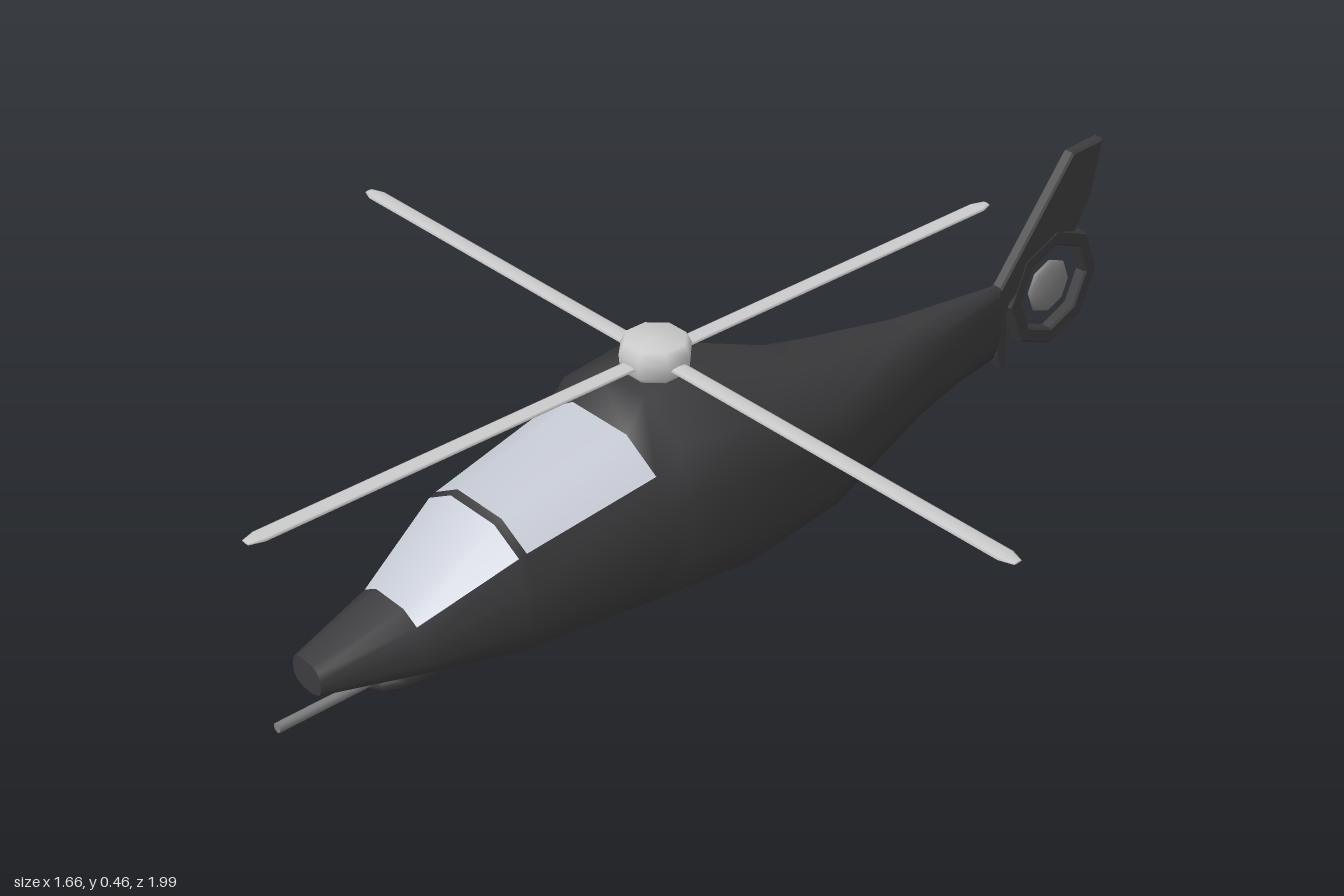
import * as THREE from 'three';

const mat = (color, extra = {}) => new THREE.MeshStandardMaterial({ color, ...extra });

// Hull stations, nose to tail: z, half width, bottom y, top y, roof width ratio
const STATIONS = [
  [0.91, 0.038, 0.1, 0.16, 0.5],
  [0.74, 0.082, 0.066, 0.198, 0.45],
  [0.565, 0.139, 0.036, 0.293, 0.42],
  [0.55, 0.141, 0.035, 0.298, 0.42],
  [0.29, 0.168, 0.01, 0.355, 0.42],
  [0.24, 0.178, 0.005, 0.402, 0.34],
  [0.1, 0.2, 0.003, 0.402, 0.33],
  [-0.16, 0.152, 0.005, 0.295, 0.35],
  [-0.45, 0.067, 0.05, 0.25, 0.38],
  [-0.72, 0.013, 0.073, 0.23, 0.45],
];
const SIDES = 12;

// Twelve-sided section, counter-clockwise from the bottom on the +x side
function section([z, w, y0, y1, roof]) {
  const half = [[0.35, 0], [0.85, 0.125], [1, 0.33], [1, 0.62], [0.87, 0.86], [roof, 1]]
    .map(([x, y]) => [x * w, y0 + y * (y1 - y0), z]);
  return [...half, ...half.slice().reverse().map(([x, y]) => [-x, y, z])];
}

// Skin over the hull cells picked by the test (station, side)
function hullSkin(pick) {
  const index = [];
  for (let i = 0; i < STATIONS.length - 1; i++) {
    for (let j = 0; j < SIDES; j++) {
      if (!pick(i, j)) continue;
      const k = (j + 1) % SIDES;
      const a = i * SIDES + j, b = i * SIDES + k, c = b + SIDES, d = a + SIDES;
      index.push(a, d, c, a, c, b);
    }
  }
  const g = new THREE.BufferGeometry();
  g.setAttribute('position', new THREE.Float32BufferAttribute(STATIONS.flatMap(section).flat(), 3));
  g.setIndex(index);
  g.computeVertexNormals();
  return g;
}

// Flat cap closing one end of the hull
function hullCap(station, front) {
  const pts = section(station);
  const index = [];
  for (let j = 1; j < SIDES - 1; j++) index.push(0, ...(front ? [j, j + 1] : [j + 1, j]));
  const g = new THREE.BufferGeometry();
  g.setAttribute('position', new THREE.Float32BufferAttribute(pts.flat(), 3));
  g.setIndex(index);
  g.computeVertexNormals();
  return g;
}

// Upright plate centred on x = 0, outlined by [z, y] points
function plate(shape, thickness) {
  const bevel = 0.004;
  const g = new THREE.ExtrudeGeometry(shape, {
    depth: thickness - 2 * bevel, bevelThickness: bevel, bevelSize: bevel, bevelOffset: -bevel, bevelSegments: 1,
  });
  return g.translate(0, 0, bevel - thickness / 2).rotateY(Math.PI / 2);
}
const outline = (pts) => new THREE.Shape(pts.map(([z, y]) => new THREE.Vector2(-z, y)));
const octagon = (r) => Array.from({ length: 8 }, (_, i) =>
  new THREE.Vector2(Math.cos(i * Math.PI / 4) * r, Math.sin(i * Math.PI / 4) * r));
const lathe = (pts, n, start = 0) =>
  new THREE.LatheGeometry(pts.map((p) => new THREE.Vector2(...p)), n, start);

export function createModel() {
  const model = new THREE.Group();
  model.name = 'helicopter';
  const dark = mat(0x3c3c3e), glass = mat(0xc4c8d2, { side: THREE.DoubleSide });
  const grey = mat(0xcccccc), steel = mat(0x808080);
  const add = (name, geometry, material, parent = model) => {
    const m = new THREE.Mesh(geometry, material);
    m.name = name;
    parent.add(m);
    return m;
  };

  // Fuselage with two windscreen panels split by a dark bar
  const isGlass = (i, j) => (i === 1 || i === 3) && j >= 4 && j <= 6;
  add('fuselage', hullSkin((i, j) => !isGlass(i, j)), dark);
  add('frontWindscreen', hullSkin((i, j) => i === 1 && isGlass(i, j)), glass);
  add('rearWindscreen', hullSkin((i, j) => i === 3 && isGlass(i, j)), glass);
  add('noseCap', hullCap(STATIONS[0], true), dark);
  add('tailCap', hullCap(STATIONS[STATIONS.length - 1], false), dark);

  // Chin turret and gun
  const turret = add('gunTurret', new THREE.SphereGeometry(1, 12, 8), dark);
  turret.scale.set(0.045, 0.034, 0.1);
  turret.position.set(0, 0.053, 0.7);
  const gun = add('gunBarrel', new THREE.CylinderGeometry(0.009, 0.009, 0.24, 8), steel);
  gun.rotation.x = Math.PI / 2;
  gun.position.set(0, 0.058, 0.855);

  // Main rotor: faceted hub and four thin blades
  const rotor = new THREE.Group();
  rotor.name = 'mainRotor';
  rotor.position.set(0, 0.428, 0.162);
  model.add(rotor);
  add('rotorHub', lathe([[0, -0.028], [0.052, -0.028], [0.064, -0.014], [0.066, 0.014],
    [0.056, 0.034], [0, 0.036]], 8, Math.PI / 8), grey, rotor);
  const bladeGeometry = lathe([[0.018, 0.03], [0.018, 0.805], [0.009, 0.83], [0, 0.83]], 8)
    .rotateX(Math.PI / 2).scale(1, 0.22, 1);
  for (let i = 0; i < 4; i++) {
    add('rotorBlade' + (i + 1), bladeGeometry, grey, rotor).rotation.y = i * Math.PI / 2;
  }

  // Tail: swept fin, lower strut, octagonal shroud and fan hub
  add('tailFin', plate(outline([[-0.71, 0.225], [-0.9, 0.46], [-0.988, 0.463], [-0.965, 0.345],
    [-0.925, 0.28], [-0.865, 0.295], [-0.79, 0.255], [-0.76, 0.2], [-0.72, 0.17]]), 0.026), dark);
  add('tailStrut', plate(outline([[-0.705, 0.23], [-0.76, 0.23], [-0.735, 0.17],
    [-0.745, 0.045], [-0.722, 0.048], [-0.71, 0.08]]), 0.026), dark);
  const ring = new THREE.Shape(octagon(0.128));
  ring.holes.push(new THREE.Path(octagon(0.094).reverse()));
  const shroud = add('tailFanShroud', plate(ring, 0.028), dark);
  shroud.position.set(0, 0.175, -0.871);
  const hub = add('tailFanHub', new THREE.SphereGeometry(1, 8, 8).rotateZ(Math.PI / 2), steel);
  hub.scale.set(0.015, 0.058, 0.058);
  hub.position.set(0, 0.175, -0.868);

  return model;
}
